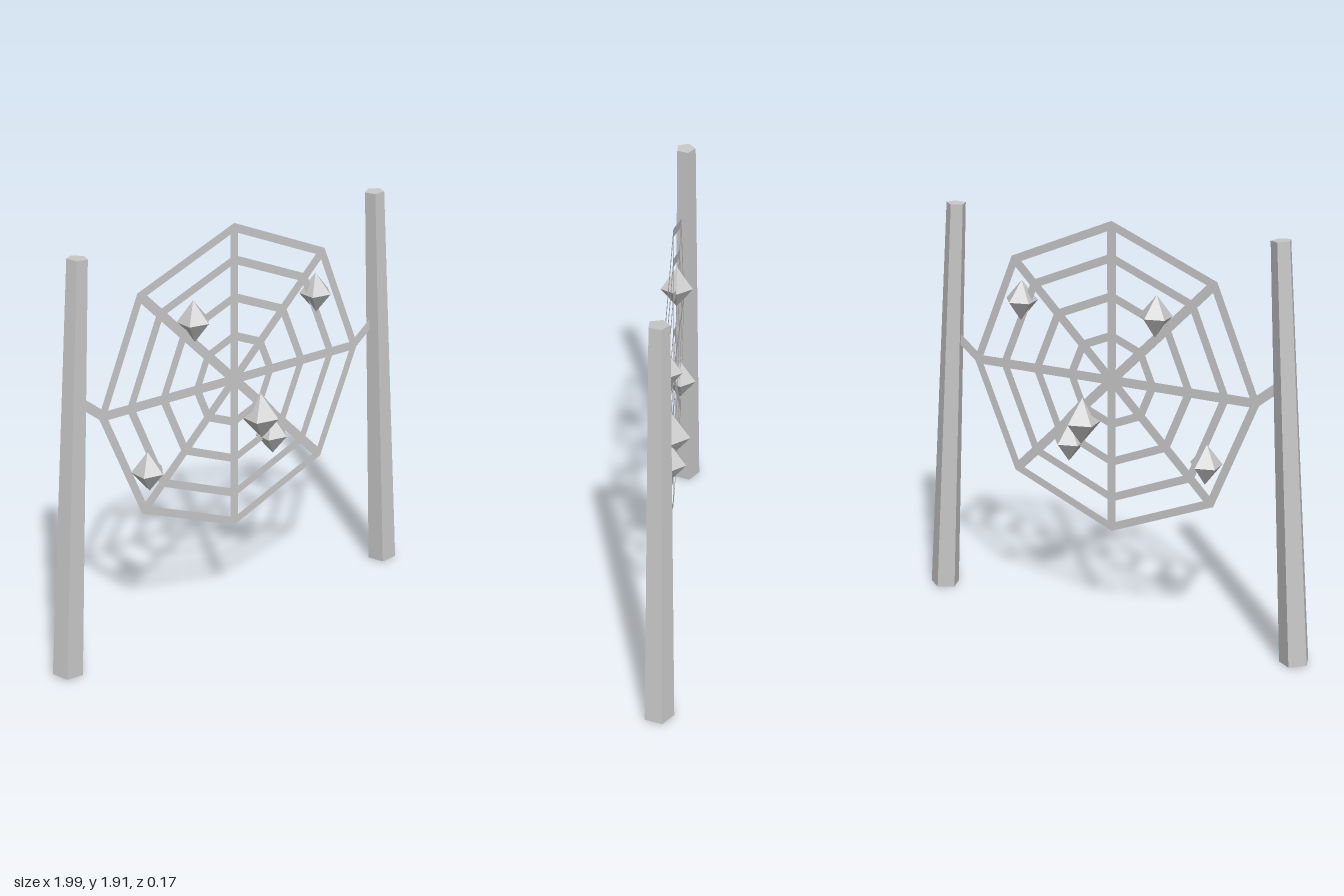
import * as THREE from 'three';

const stone = new THREE.MeshStandardMaterial({ color: 0xc8c8c8, flatShading: true, side: THREE.DoubleSide });
stone.name = 'pale grey';

const WEB_Y = 1.18;

function add(parent, name, geometry) {
  const mesh = new THREE.Mesh(geometry, stone);
  mesh.name = name;
  parent.add(mesh);
  return mesh;
}

// Flat strip between two points in the web plane
function strip(parent, name, x1, y1, x2, y2, width) {
  const mesh = add(parent, name, new THREE.PlaneGeometry(Math.hypot(x2 - x1, y2 - y1), width));
  mesh.position.set((x1 + x2) / 2, (y1 + y2) / 2, 0);
  mesh.rotation.z = Math.atan2(y2 - y1, x2 - x1);
}

export function createModel() {
  const model = new THREE.Group();
  model.name = 'webBetweenPosts';

  // Leaning five-sided posts, a flat face to the front
  for (const side of [1, -1]) {
    const foot = new THREE.Vector3(side * 0.93, 0.005, 0);
    const tip = new THREE.Vector3(side * 0.805, 1.908, 0);
    const axis = tip.clone().sub(foot);
    const post = add(model, side > 0 ? 'leftPost' : 'rightPost',
      new THREE.CylinderGeometry(0.046, 0.07, axis.length(), 5, 1, false, Math.PI));
    post.position.copy(foot).add(tip).multiplyScalar(0.5);
    post.quaternion.setFromUnitVectors(new THREE.Vector3(0, 1, 0), axis.normalize());
  }

  // Eight-sided web: spokes, rings and ties to the posts
  const web = new THREE.Group();
  web.name = 'web';
  web.position.y = WEB_Y;
  model.add(web);
  for (let i = 0; i < 4; i++) {
    const c = Math.cos(i * Math.PI / 4) * 0.715, s = Math.sin(i * Math.PI / 4) * 0.715;
    strip(web, 'spoke', -c, -s, c, s, 0.043);
  }
  for (const r of [0.707, 0.562, 0.388, 0.207]) {
    add(web, 'ring', new THREE.RingGeometry(r - 0.02, r + 0.02, 8, 1));
  }
  for (const side of [1, -1]) strip(web, 'tie', side * 0.7, 0, side * 0.83, 0.105, 0.043);

  // Five-sided crystals caught in the web: x, y, radius, half height
  const crystals = [
    [-0.22, 1.505, 0.076, 0.097],
    [0.467, 1.493, 0.076, 0.095],
    [-0.475, 0.86, 0.076, 0.095],
    [0.155, 0.963, 0.092, 0.112],
    [0.22, 0.856, 0.077, 0.097],
  ];
  for (const [x, y, r, h] of crystals) {
    const profile = [new THREE.Vector2(0, -h), new THREE.Vector2(r, 0), new THREE.Vector2(0, h)];
    const crystal = add(model, 'crystal', new THREE.LatheGeometry(profile, 5, Math.PI / 2 + 0.06));
    crystal.position.set(x, y, 0);
    crystal.rotation.z = 0.04;
  }
  return model;
}
